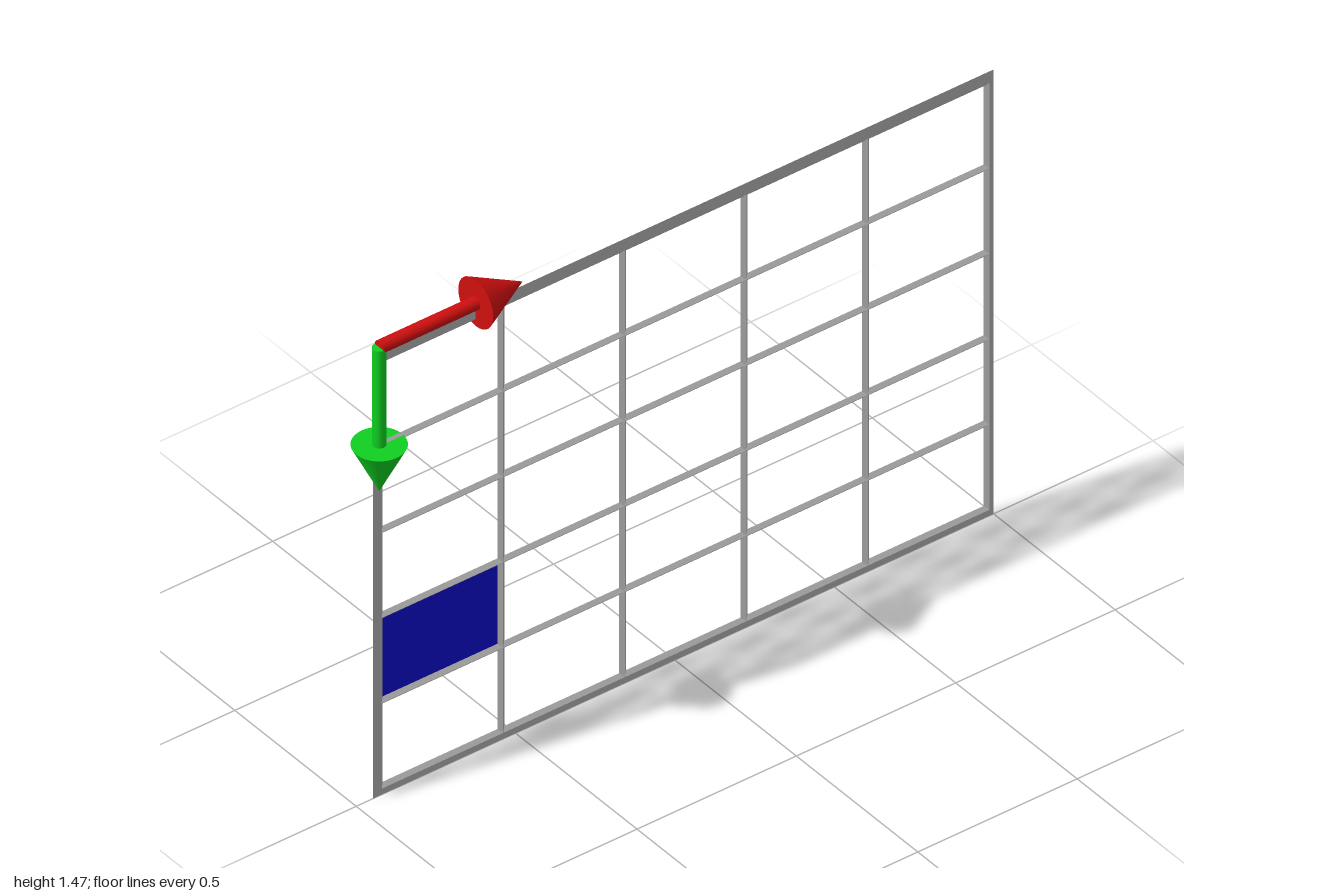
import * as THREE from 'three';

const Z0 = 0.928, Y0 = 1.362;        // grid corner
const DZ = 0.3815, DY = 0.2668;      // cell size
const COLS = 5, ROWS = 5;
const W = 0.011, T = 0.01;           // bar half width and half thickness

const grey = new THREE.MeshStandardMaterial({ color: 0xb2b2b2, side: THREE.DoubleSide });
grey.name = 'frame grey';
const blue = new THREE.MeshStandardMaterial({ color: 0x0d0dd0, side: THREE.DoubleSide });
blue.name = 'cell blue';
const red = new THREE.MeshStandardMaterial({ color: 0xd00f0f });
red.name = 'arrow red';
const green = new THREE.MeshStandardMaterial({ color: 0x10d022 });
green.name = 'arrow green';

// Grid bars: every cell carries mitred bevels that slope from the ridges to its inset edge
function gridBars() {
  const pos = [];
  const quad = (a, b, c, d) => pos.push(...a, ...b, ...c, ...a, ...c, ...d);
  for (let i = 0; i < COLS; i++) {
    for (let j = 0; j < ROWS; j++) {
      const za = Z0 - i * DZ, zb = za - DZ;
      const yt = Y0 - j * DY, yb = yt - DY;
      const outer = [[za, yb], [zb, yb], [zb, yt], [za, yt]];
      const inner = [[za - W, yb + W], [zb + W, yb + W], [zb + W, yt - W], [za - W, yt - W]];
      for (let k = 0; k < 4; k++) {
        const n = (k + 1) % 4;
        const at = (x, p) => [x, p[1], p[0]];
        quad(at(T, outer[k]), at(T, outer[n]), at(0, inner[n]), at(0, inner[k]));
        quad(at(-T, outer[n]), at(-T, outer[k]), at(0, inner[k]), at(0, inner[n]));
      }
    }
  }
  const geo = new THREE.BufferGeometry();
  geo.setAttribute('position', new THREE.Float32BufferAttribute(pos, 3));
  geo.computeVertexNormals();
  return geo;
}

// Flat border: a rectangle with a hole; shape x runs towards -z
function borderPlate() {
  const rect = (target, x0, y0, x1, y1) =>
    target.moveTo(x0, y0).lineTo(x1, y0).lineTo(x1, y1).lineTo(x0, y1).closePath();
  const shape = new THREE.Shape();
  rect(shape, -0.947, 0, 1, 1.389);
  const hole = new THREE.Path();
  rect(hole, -Z0 + W, Y0 - ROWS * DY + W, -Z0 + COLS * DZ - W, Y0 - W);
  shape.holes.push(hole);
  return new THREE.ShapeGeometry(shape).rotateY(Math.PI / 2);
}

// Arrow pointing up from its own origin
function arrow(name, material) {
  const group = new THREE.Group();
  group.name = name;
  const shaft = new THREE.Mesh(new THREE.CylinderGeometry(0.0185, 0.0185, 0.31, 32), material);
  shaft.position.y = 0.155;
  shaft.name = name + 'Shaft';
  const head = new THREE.Mesh(new THREE.ConeGeometry(0.072, 0.147, 32), material);
  head.position.y = 0.303 + 0.0735;
  head.name = name + 'Head';
  group.add(shaft, head);
  group.position.set(0, 1.402, Z0);
  return group;
}

export function createModel() {
  const model = new THREE.Group();
  model.name = 'gridWithArrows';
  const add = (name, geo, mat) => {
    const mesh = new THREE.Mesh(geo, mat);
    mesh.name = name;
    model.add(mesh);
    return mesh;
  };

  add('gridBars', gridBars(), grey);
  add('border', borderPlate(), grey);

  // Filled cell: first column, fourth row
  const cell = add('filledCell', new THREE.PlaneGeometry(DZ - 2 * W, DY - 2 * W).rotateY(Math.PI / 2), blue);
  cell.position.set(0, Y0 - 3.5 * DY, Z0 - 0.5 * DZ);

  // Arrows along the top edge and down the front edge
  const along = arrow('columnArrow', red);
  along.rotation.x = -Math.PI / 2;
  const down = arrow('rowArrow', green);
  down.rotation.x = Math.PI;
  model.add(along, down);

  return model;
}
